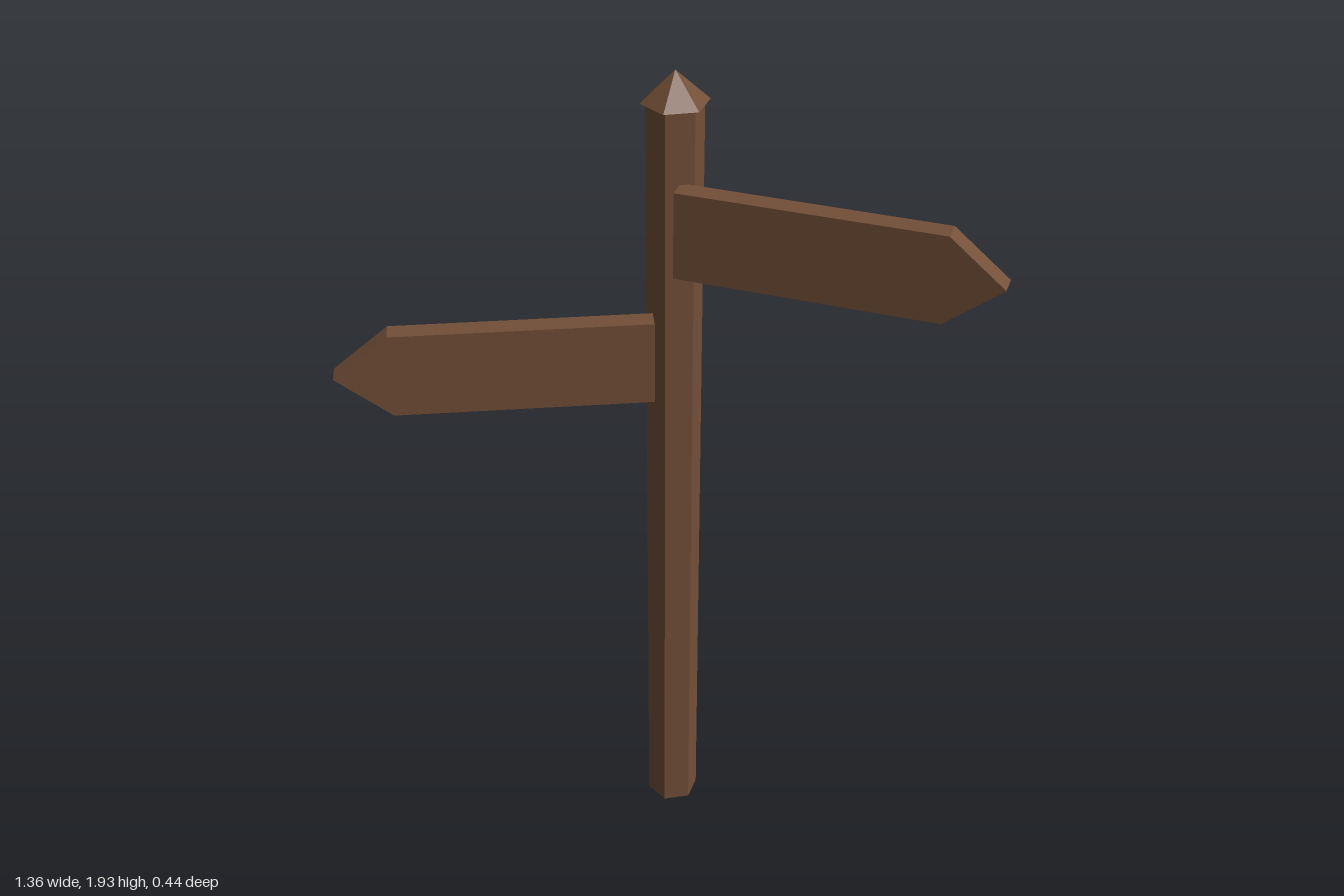
import * as THREE from 'three';

export function createModel() {
  const group = new THREE.Group();
  const wood = new THREE.MeshStandardMaterial({ color: 0x734f38, flatShading: true });
  wood.name = 'brown wood';

  const add = (name, geometry, x, y, z, turn = 0) => {
    const mesh = new THREE.Mesh(geometry, wood);
    mesh.name = name;
    mesh.position.set(x, y, z);
    mesh.rotation.y = THREE.MathUtils.degToRad(turn);
    group.add(mesh);
  };

  // Six-sided post with a pointed cap
  const bottom = 0.066, eaves = 1.934, postX = -0.029, postZ = -0.148;
  add('post', new THREE.CylinderGeometry(0.061, 0.061, eaves - bottom, 6), postX, (bottom + eaves) / 2, postZ);
  add('postCap', new THREE.ConeGeometry(0.072, 2 - eaves, 6), postX, (2 + eaves) / 2, postZ);

  // Arrow board pointing along +x from its inner end
  const length = 0.68, shoulder = 0.56, half = 0.0965, thickness = 0.047;
  const outline = new THREE.Shape([
    new THREE.Vector2(0, -half),
    new THREE.Vector2(shoulder, -half),
    new THREE.Vector2(length, 0),
    new THREE.Vector2(shoulder, half),
    new THREE.Vector2(0, half),
  ]);
  const board = new THREE.ExtrudeGeometry(outline, { depth: thickness, bevelEnabled: false });
  board.translate(0, 0, -thickness / 2);

  add('upperArrowBoard', board, -0.003, 1.68, -0.087);
  add('lowerArrowBoard', board, -0.054, 1.37, -0.087, 205);

  return group;
}
